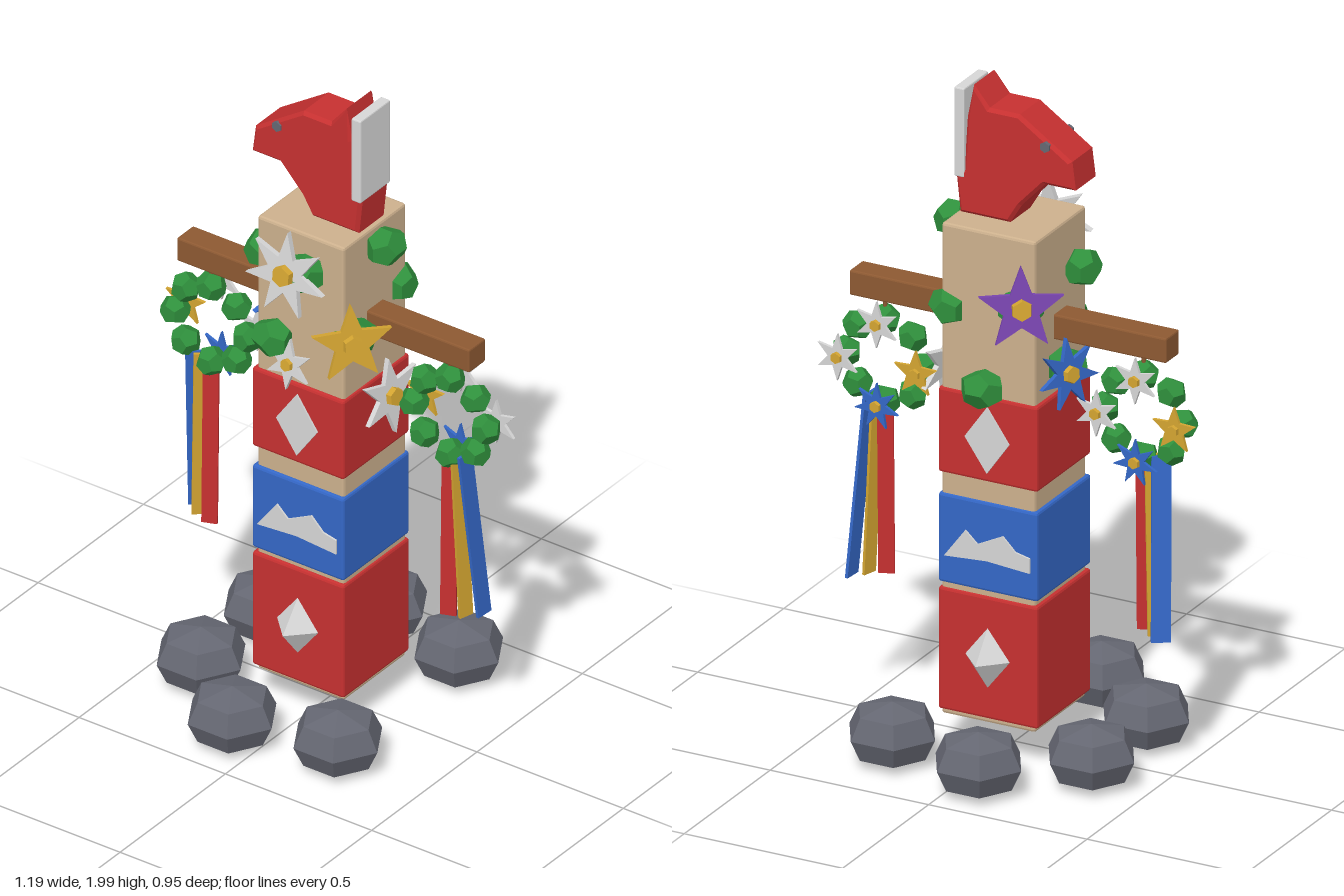
import * as THREE from 'three';
import { RoundedBoxGeometry } from 'three/addons/geometries/RoundedBoxGeometry.js';

const colours = {
  red: 0xc63030, blue: 0x3467c6, tan: 0xccb08d, brown: 0x8d5932, green: 0x2f8f3c,
  stone: 0x656772, silver: 0xd6d6d6, gold: 0xd3a431, purple: 0x7a45b0,
};

export function createModel() {
  const root = new THREE.Group();
  root.name = 'festivePost';
  const mats = {};
  for (const [name, color] of Object.entries(colours)) {
    mats[name] = new THREE.MeshStandardMaterial({ color });
    mats[name].name = name;
  }

  const add = (name, geo, mat, x = 0, y = 0, z = 0, parent = root) => {
    const m = new THREE.Mesh(geo, mats[mat]);
    m.name = name;
    m.position.set(x, y, z);
    parent.add(m);
    return m;
  };
  const faceted = (geo) => {
    const g = geo.index ? geo.toNonIndexed() : geo;
    g.computeVertexNormals();
    return g;
  };
  const block = (w, h, d, r = 0.008) => faceted(new RoundedBoxGeometry(w, h, d, 1, r));
  const shapeOf = (pts) => new THREE.Shape(pts.map(([x, y]) => new THREE.Vector2(x, y)));
  const plate = (pts, depth, bevel = 0) => {
    const g = new THREE.ExtrudeGeometry(shapeOf(pts), {
      depth: depth - 2 * bevel, bevelEnabled: bevel > 0, bevelThickness: bevel,
      bevelSize: bevel, bevelOffset: -bevel, bevelSegments: 1,
    });
    g.translate(0, 0, bevel - depth / 2);
    return g;
  };

  // Post and coloured sleeves
  add('post', block(0.296, 1.485, 0.296), 'tan', 0.002, 0.8625, -0.002);
  for (const [name, mat, y0, y1] of [
    ['lowerSleeve', 'red', 0.135, 0.505],
    ['middleSleeve', 'blue', 0.52, 0.79],
    ['upperSleeve', 'red', 0.852, 1.11],
  ]) add(name, block(0.314, y1 - y0, 0.314), mat, 0, (y0 + y1) / 2, 0);

  // Emblems on the front and back of the sleeves
  const diamond = [[0, -0.1], [0.07, 0], [0, 0.1], [-0.07, 0]];
  const ridge = [[-0.135, 0.605], [0, 0.615], [0.135, 0.605], [0.135, 0.65], [0.09, 0.66],
    [0.05, 0.7], [-0.03, 0.66], [-0.068, 0.695]];
  for (const s of [1, -1]) {
    const gem = add('gem', new THREE.OctahedronGeometry(1), 'silver', 0, 0.32, s * 0.157);
    gem.scale.set(0.07, 0.09, 0.071);
    add('diamond', plate(diamond, 0.008), 'silver', 0, 0.98, s * 0.159);
    const m = add('mountains', plate(ridge, 0.008), 'silver', 0, 0, s * 0.159);
    if (s < 0) m.rotation.y = Math.PI;
  }

  // Animal head in profile, with eyes and a crest plate behind
  const head = [[-0.02, 1.607], [0.138, 1.607], [0.15, 1.72], [0.125, 1.74], [0.115, 1.9],
    [0.095, 2.0], [0.045, 1.94], [-0.05, 1.94], [-0.215, 1.83], [-0.226, 1.745],
    [-0.13, 1.745], [-0.055, 1.665]];
  add('head', plate(head, 0.135, 0.01), 'red', 0, 0, -0.002);
  add('crest', block(0.032, 0.27, 0.142, 0.004), 'silver', 0.137, 1.85, 0);
  const eyeGeo = faceted(new THREE.CylinderGeometry(0.016, 0.016, 0.012, 6).rotateX(Math.PI / 2));
  for (const s of [1, -1]) add('eye', eyeGeo, 'stone', -0.135, 1.862, s * 0.067 - 0.002);

  // Cross beam
  add('crossBeam', block(1.0, 0.075, 0.078, 0.005), 'brown', 0, 1.308, -0.002);

  // Boulders: six of seven places round a ring
  const rockGeo = faceted(new THREE.LatheGeometry([[0, -0.092], [0.105, -0.064], [0.135, 0],
    [0.105, 0.064], [0, 0.092]].map(([x, y]) => new THREE.Vector2(x, y)), 6).rotateY(Math.PI / 6));
  rockGeo.rotateY(Math.PI / 3);
  for (let k = 1; k <= 6; k++) {
    const a = (k / 7) * Math.PI * 2;
    add('boulder', rockGeo, 'stone', 0.367 * Math.cos(a), 0.1, 0.367 * Math.sin(a) - 0.003);
  }

  // Star flower with a gold centre, facing local +z
  const star = (name, mat, points, r, x, y, z, parent = root) => {
    const g = new THREE.Group();
    g.name = name;
    g.position.set(x, y, z);
    const pts = [];
    for (let i = 0; i < points * 2; i++) {
      const a = Math.PI / 2 + (i * Math.PI) / points, q = i % 2 ? r * 0.42 : r;
      pts.push([q * Math.cos(a), q * Math.sin(a)]);
    }
    add('petals', plate(pts, r * 0.14), mat, 0, 0, 0, g);
    const c = faceted(new THREE.CylinderGeometry(r * 0.23, r * 0.26, r * 0.2, 6));
    add('flowerCentre', c.rotateX(Math.PI / 2), 'gold', 0, 0, r * 0.12, g);
    parent.add(g);
    return g;
  };

  // Garland of leaf clusters winding round the post
  const leafGeo = new THREE.DodecahedronGeometry(0.057);
  for (let i = 0; i < 9; i++) {
    const a = (i / 8) * Math.PI * 3.5;
    const m = add('garlandLeaf', leafGeo, 'green', 0.19 * Math.cos(a), 1.555 - 0.051 * i, 0.19 * Math.sin(a));
    m.rotation.y = -a;
    m.scale.z = 1.2;
  }

  // Star flowers on the garland: colour, points, radius, angle, height, distance
  for (const [mat, n, r, deg, y, d] of [
    ['silver', 7, 0.13, 87, 1.515, 0.23],
    ['purple', 5, 0.125, 237, 1.42, 0.238],
    ['gold', 5, 0.12, 40, 1.31, 0.238],
    ['blue', 7, 0.105, 202, 1.2, 0.235],
    ['silver', 6, 0.115, 9, 1.1, 0.235],
    ['silver', 6, 0.078, 90, 1.2, 0.2],
  ]) {
    const a = THREE.MathUtils.degToRad(deg);
    const g = star('garlandStar', mat, n, r, d * Math.cos(a), y, d * Math.sin(a));
    g.rotation.set(-0.13, Math.PI / 2 - a, 0, 'YXZ');
  }

  // Ribbon: a thin strip turned about y, leaning by dx, dz at its foot
  const ribbon = (mat, x, w, turn, dx, dz, parent) => {
    const h = 0.54, g = new THREE.BoxGeometry(w, h, 0.009).rotateY(turn).translate(0, -h / 2, 0);
    const p = g.attributes.position;
    for (let i = 0; i < p.count; i++) {
      const t = -p.getY(i) / h;
      p.setX(i, p.getX(i) + dx * t);
      p.setZ(i, p.getZ(i) + dz * t);
    }
    g.computeVertexNormals();
    add('ribbon', g, mat, x, -0.11, 0, parent);
  };

  // Hanging wreaths
  const bushGeo = new THREE.DodecahedronGeometry(0.045).rotateY(-0.554);
  for (const s of [1, -1]) {
    const w = new THREE.Group();
    w.name = s > 0 ? 'leftWreath' : 'rightWreath';
    w.position.set(s * 0.408, 1.08, 0);
    root.add(w);
    add('hanger', new THREE.CylinderGeometry(0.006, 0.006, 0.09, 6), 'brown', 0, 0.16, 0, w);
    for (let i = 0; i < 8; i++) {
      const a = (i / 8) * Math.PI * 2;
      const m = add('wreathLeaf', bushGeo, 'green', 0.123 * Math.cos(a), 0.123 * Math.sin(a), 0, w);
      m.rotation.z = a;
    }
    [['silver', 6], ['silver', 6], ['gold', 5], ['blue', 7]].forEach(([mat, n], i) => {
      const a = (i * Math.PI) / 2;
      const g = star('wreathStar', mat, n, 0.07, 0.123 * Math.cos(a), 0.123 * Math.sin(a), -0.05, w);
      g.rotation.y = Math.PI;
    });
    // Ribbons fan outwards
    if (s > 0) {
      ribbon('red', 0, 0.046, 0.35, 0, 0.008, w);
      ribbon('gold', 0.025, 0.046, 1.3, 0.018, -0.015, w);
      ribbon('blue', 0.05, 0.056, 1.5, 0.028, -0.052, w);
    } else {
      ribbon('red', 0, 0.046, 0.35, 0, 0.008, w);
      ribbon('gold', -0.03, 0.05, 0.7, -0.018, -0.015, w);
      ribbon('blue', -0.055, 0.056, 0.6, -0.027, -0.052, w);
    }
  }
  return root;
}
